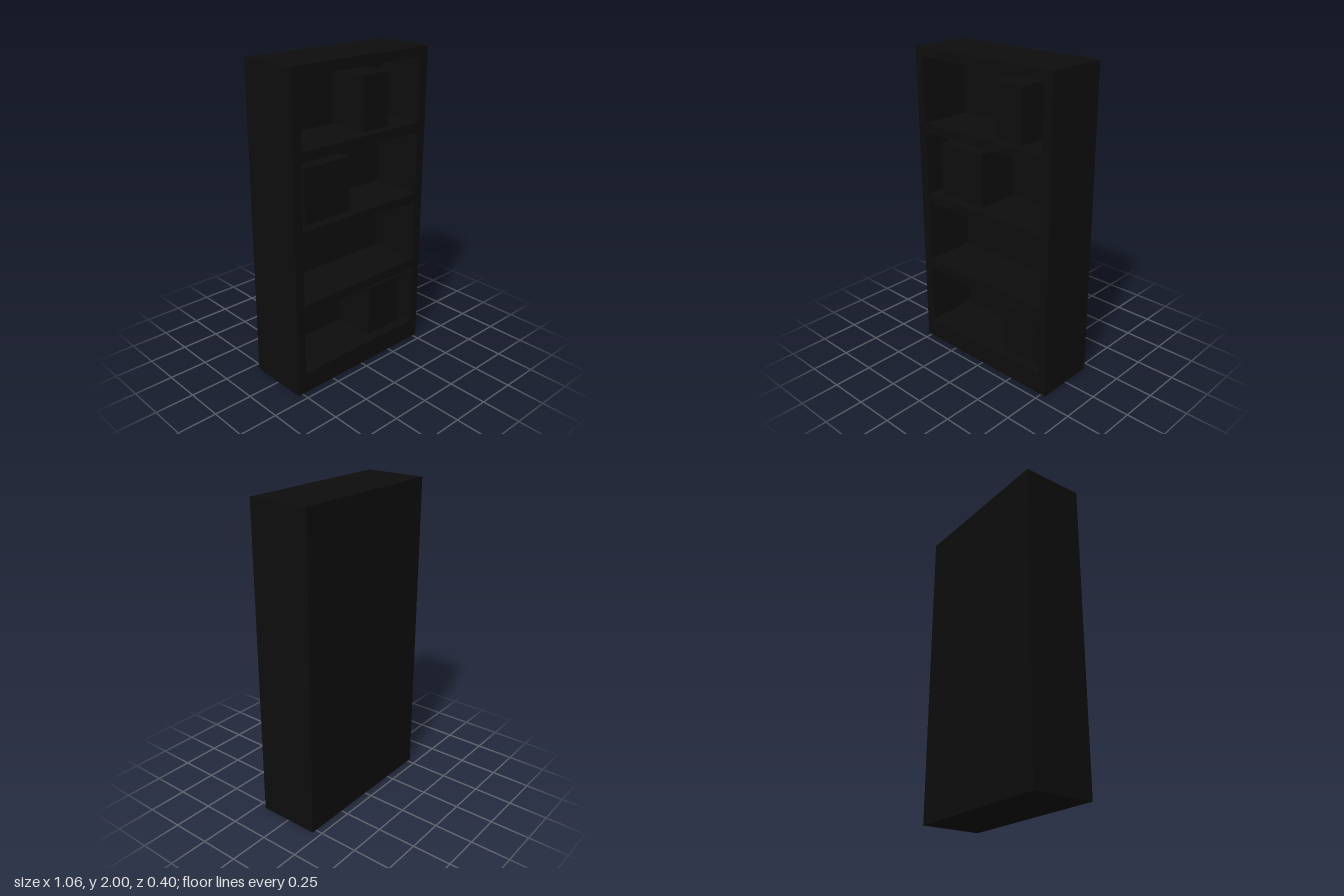
import * as THREE from 'three';

export function createModel() {
  const group = new THREE.Group();
  group.name = 'bookcase';
  const black = new THREE.MeshStandardMaterial({ color: 0x0d0d0d });
  black.name = 'black';

  // Box given by its extents on each axis
  function box(name, x0, x1, y0, y1, z0, z1) {
    const mesh = new THREE.Mesh(new THREE.BoxGeometry(x1 - x0, y1 - y0, z1 - z0), black);
    mesh.position.set((x0 + x1) / 2, (y0 + y1) / 2, (z0 + z1) / 2);
    mesh.name = name;
    group.add(mesh);
  }

  const W = 0.53, IN = 0.47, D = 0.2, BACK = -0.14;

  // Carcass: side panels and back panel
  box('leftSide', IN, W, 0, 2, -D, D);
  box('rightSide', -W, -IN, 0, 2, -D, D);
  box('backPanel', -IN, IN, 0, 2, -D, BACK);

  // Plinth, shelves and top board
  box('base', -IN, IN, 0, 0.135, BACK, D);
  [[0.54, 0.6], [1.01, 1.07], [1.475, 1.535]].forEach(([y0, y1], i) =>
    box('shelf' + (i + 1), -IN, IN, y0, y1, BACK, D));
  box('topBoard', -IN, IN, 1.94, 2, BACK, D);

  // Storage boxes standing on the shelves
  [
    [0.13, 0.41, 0.135, 0.475],
    [-0.4, -0.05, 1.07, 1.41],
    [0.06, 0.27, 1.535, 1.87],
  ].forEach(([x0, x1, y0, y1], i) =>
    box('storageBox' + (i + 1), x0, x1, y0, y1, BACK, 0.135));

  return group;
}
